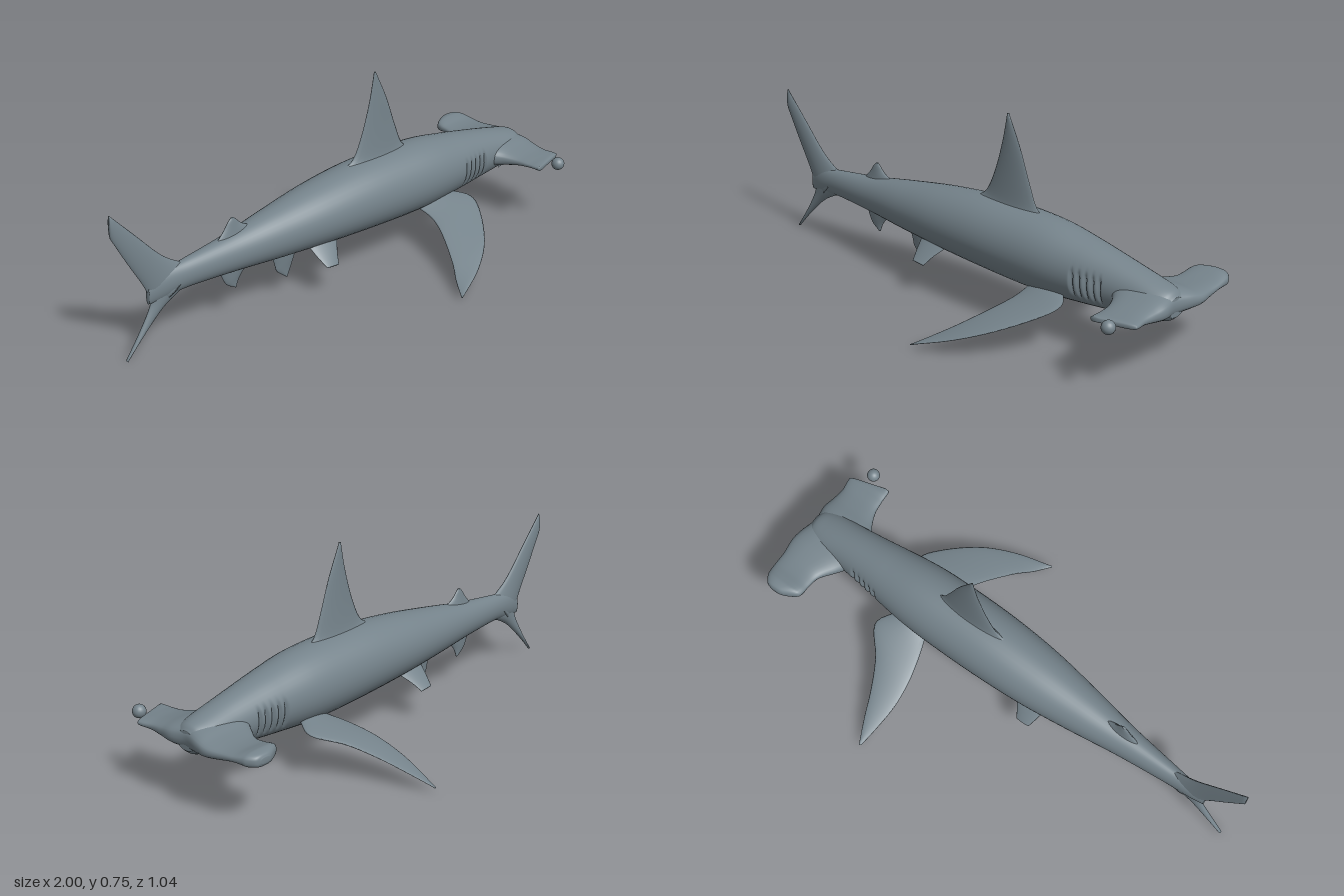
import * as THREE from 'three';

const MID = 0.034; // z of the body's centre plane

// Closed smooth skin through a list of rings that have equal point counts
function loft(rings) {
  const n = rings[0].length, pos = [], idx = [];
  rings.forEach(r => r.forEach(p => pos.push(p.x, p.y, p.z)));
  for (let i = 0; i < rings.length - 1; i++) {
    for (let j = 0; j < n; j++) {
      const a = i * n + j, b = i * n + (j + 1) % n;
      idx.push(a, b, a + n, b, b + n, a + n);
    }
  }
  // end caps
  [0, rings.length - 1].forEach(k => {
    const c = new THREE.Vector3();
    rings[k].forEach(p => c.addScaledVector(p, 1 / n));
    const ci = pos.length / 3;
    pos.push(c.x, c.y, c.z);
    for (let j = 0; j < n; j++) {
      const a = k * n + j, b = k * n + (j + 1) % n;
      if (k === 0) idx.push(ci, b, a); else idx.push(ci, a, b);
    }
  });
  // turn the faces outward when the enclosed volume is negative
  const v = i => new THREE.Vector3().fromArray(pos, i * 3);
  let volume = 0;
  for (let i = 0; i < idx.length; i += 3) volume += v(idx[i]).dot(v(idx[i + 1]).cross(v(idx[i + 2])));
  if (volume < 0) idx.reverse();
  const g = new THREE.BufferGeometry();
  g.setAttribute('position', new THREE.Float32BufferAttribute(pos, 3));
  g.setIndex(idx);
  g.computeVertexNormals();
  return g;
}

const curve = pts => new THREE.CatmullRomCurve3(pts.map(p => new THREE.Vector3(...p)), false, 'catmullrom', 0.5);

// Fin between a leading and a trailing edge, root first, with a lens section
function fin(lead, trail, rootHalf, tipHalf, normal) {
  const a = curve(lead), b = curve(trail), n = new THREE.Vector3(...normal).normalize();
  const rings = [], steps = 24, sides = 20;
  for (let i = 0; i <= steps; i++) {
    const t = i / steps, p = a.getPoint(t), q = b.getPoint(t);
    const half = p.clone().sub(q).multiplyScalar(0.5), mid = p.clone().add(q).multiplyScalar(0.5);
    const th = THREE.MathUtils.lerp(rootHalf, tipHalf, Math.pow(t, 0.7));
    const ring = [];
    for (let j = 0; j < sides; j++) {
      const u = j / sides * Math.PI * 2, s = Math.sin(u);
      ring.push(mid.clone().addScaledVector(half, Math.cos(u)).addScaledVector(n, th * s * Math.pow(Math.abs(s), 0.3)));
    }
    rings.push(ring);
  }
  return loft(rings);
}

// Upright fin on the centre plane, from [x, y] edges
const uprightFin = (lead, trail, root, tip) =>
  fin(lead.map(p => [...p, MID]), trail.map(p => [...p, MID]), root, tip, [0, 0, 1]);

function bodyGeometry() {
  // x, top, bottom, half width
  const stations = [
    [-0.86, 0.27, 0.20, 0.010], [-0.80, 0.305, 0.20, 0.024], [-0.70, 0.317, 0.21, 0.036],
    [-0.50, 0.343, 0.20, 0.060], [-0.30, 0.378, 0.186, 0.092], [-0.10, 0.41, 0.174, 0.119],
    [0.10, 0.43, 0.163, 0.132], [0.30, 0.432, 0.155, 0.134], [0.45, 0.424, 0.156, 0.129],
    [0.60, 0.40, 0.167, 0.112], [0.70, 0.381, 0.176, 0.099], [0.80, 0.36, 0.186, 0.088],
    [0.90, 0.336, 0.20, 0.080], [0.95, 0.32, 0.211, 0.066], [0.972, 0.30, 0.228, 0.045]];
  const heights = curve(stations.map(s => [s[0], s[1], s[2]]));
  const widths = curve(stations.map(s => [s[0], s[3], 0]));
  const rings = [], steps = 320, sides = 40;
  for (let i = 0; i <= steps; i++) {
    const h = heights.getPoint(i / steps), w = widths.getPoint(i / steps).y;
    const cy = (h.y + h.z) / 2, ry = (h.y - h.z) / 2, ring = [];
    for (let j = 0; j < sides; j++) {
      const u = j / sides * Math.PI * 2, y = cy + ry * Math.sin(u);
      // five gill grooves on each flank
      const wave = h.x > 0.586 && h.x < 0.726 ? Math.pow(Math.sin((h.x - 0.586) / 0.028 * Math.PI), 4) : 0;
      const flank = THREE.MathUtils.smoothstep(y, 0.205, 0.24) * (1 - THREE.MathUtils.smoothstep(y, 0.295, 0.325));
      ring.push(new THREE.Vector3(h.x, y, MID + Math.cos(u) * (w - 0.013 * wave * flank)));
    }
    rings.push(ring);
  }
  return loft(rings);
}

function hammerGeometry() {
  // z, back x, front x, top, bottom
  const stations = [
    [-0.284, 0.895, 0.935, 0.282, 0.262], [-0.275, 0.872, 0.957, 0.294, 0.250],
    [-0.250, 0.832, 0.975, 0.300, 0.244], [-0.228, 0.822, 0.980, 0.297, 0.247],
    [-0.190, 0.822, 0.984, 0.289, 0.250], [-0.140, 0.815, 0.988, 0.288, 0.241],
    [-0.080, 0.775, 0.998, 0.296, 0.231], [-0.030, 0.745, 0.992, 0.311, 0.223],
    [0.036, 0.730, 0.976, 0.323, 0.214], [0.100, 0.750, 0.986, 0.311, 0.223],
    [0.150, 0.788, 0.980, 0.297, 0.234], [0.200, 0.812, 0.976, 0.287, 0.245],
    [0.245, 0.820, 0.984, 0.283, 0.252], [0.262, 0.822, 0.978, 0.282, 0.255],
    [0.280, 0.823, 0.925, 0.281, 0.257], [0.303, 0.826, 0.850, 0.278, 0.260]];
  const spans = curve(stations.map(s => [s[0], s[1], s[2]]));
  const heights = curve(stations.map(s => [s[0], s[3], s[4]]));
  const rings = [], steps = 90, sides = 32;
  const round = v => Math.sign(v) * Math.pow(Math.abs(v), 0.75);
  for (let i = 0; i <= steps; i++) {
    const s = spans.getPoint(i / steps), h = heights.getPoint(i / steps), ring = [];
    for (let j = 0; j < sides; j++) {
      const u = j / sides * Math.PI * 2;
      ring.push(new THREE.Vector3(
        (s.y + s.z) / 2 + (s.z - s.y) / 2 * round(Math.cos(u)),
        (h.y + h.z) / 2 + (h.y - h.z) / 2 * round(Math.sin(u)), s.x));
    }
    rings.push(ring);
  }
  return loft(rings);
}

export function createModel() {
  const model = new THREE.Group();
  const skin = new THREE.MeshStandardMaterial({ color: 0x75838b });
  skin.name = 'slateSkin';
  const add = (name, geometry) => {
    const mesh = new THREE.Mesh(geometry, skin);
    mesh.name = name;
    model.add(mesh);
    return mesh;
  };

  add('body', bodyGeometry());
  add('hammerHead', hammerGeometry());
  add('leftEye', new THREE.SphereGeometry(0.025, 24, 16)).position.set(0.918, 0.272, 0.322);

  // centre line fins
  add('dorsalFin', uprightFin(
    [[0.39, 0.41], [0.342, 0.445], [0.305, 0.53], [0.26, 0.65], [0.204, 0.765]],
    [[0.02, 0.41], [0.09, 0.445], [0.135, 0.53], [0.172, 0.65], [0.196, 0.765]], 0.03, 0.004));
  add('rearDorsalFin', uprightFin(
    [[-0.39, 0.345], [-0.44, 0.37], [-0.462, 0.39], [-0.477, 0.405]],
    [[-0.56, 0.325], [-0.525, 0.362], [-0.505, 0.39], [-0.49, 0.404]], 0.018, 0.004));
  add('analFin', uprightFin(
    [[-0.41, 0.21], [-0.445, 0.175], [-0.462, 0.15], [-0.473, 0.124]],
    [[-0.55, 0.22], [-0.53, 0.17], [-0.512, 0.145], [-0.482, 0.127]], 0.016, 0.004));
  add('bellyFin', uprightFin(
    [[-0.18, 0.20], [-0.20, 0.15], [-0.215, 0.115], [-0.232, 0.079]],
    [[-0.31, 0.20], [-0.293, 0.15], [-0.282, 0.117], [-0.242, 0.083]], 0.018, 0.004));
  add('upperTailFin', uprightFin(
    [[-0.68, 0.30], [-0.73, 0.323], [-0.80, 0.373], [-0.90, 0.48], [-1.0, 0.587]],
    [[-0.80, 0.19], [-0.845, 0.215], [-0.88, 0.285], [-0.94, 0.39], [-1.0, 0.50]], 0.03, 0.008));
  add('lowerTailFin', uprightFin(
    [[-0.66, 0.225], [-0.72, 0.208], [-0.80, 0.165], [-0.89, 0.083], [-0.957, 0.012]],
    [[-0.82, 0.29], [-0.845, 0.215], [-0.862, 0.17], [-0.91, 0.09], [-0.962, 0.016]], 0.027, 0.006));

  // swept pectoral fins, each with its own pose
  add('leftPectoralFin', fin(
    [[0.53, 0.205, 0.10], [0.585, 0.19, 0.172], [0.555, 0.162, 0.255], [0.45, 0.115, 0.38], [0.33, 0.072, 0.462], [0.192, 0.031, 0.518]],
    [[0.37, 0.185, 0.09], [0.372, 0.165, 0.172], [0.345, 0.138, 0.255], [0.28, 0.088, 0.375], [0.23, 0.055, 0.445], [0.189, 0.029, 0.514]],
    0.018, 0.003, [0, 0.92, 0.38]));
  add('rightPectoralFin', fin(
    [[0.51, 0.205, -0.05], [0.552, 0.187, -0.138], [0.475, 0.155, -0.235], [0.42, 0.115, -0.335], [0.38, 0.075, -0.43], [0.338, 0.031, -0.522]],
    [[0.37, 0.185, -0.05], [0.338, 0.165, -0.138], [0.314, 0.136, -0.235], [0.306, 0.1, -0.335], [0.315, 0.065, -0.43], [0.33, 0.029, -0.518]],
    0.018, 0.003, [0, 0.92, -0.38]));

  // small paired pelvic fins
  for (const [side, name] of [[1, 'leftPelvicFin'], [-1, 'rightPelvicFin']]) {
    add(name, fin(
      [[-0.04, 0.205, MID + side * 0.06], [-0.075, 0.168, MID + side * 0.10], [-0.098, 0.133, MID + side * 0.134]],
      [[-0.18, 0.205, MID + side * 0.06], [-0.168, 0.168, MID + side * 0.10], [-0.155, 0.138, MID + side * 0.134]],
      0.014, 0.004, [0, 0.72, side * 0.69]));
  }

  // curved mouth rim under the head
  const mouth = curve([[0.83, 0.206, MID - 0.052], [0.885, 0.205, MID - 0.035], [0.905, 0.204, MID],
    [0.885, 0.205, MID + 0.035], [0.83, 0.206, MID + 0.052]]);
  add('mouthRim', new THREE.TubeGeometry(mouth, 24, 0.006, 8));

  return model;
}
